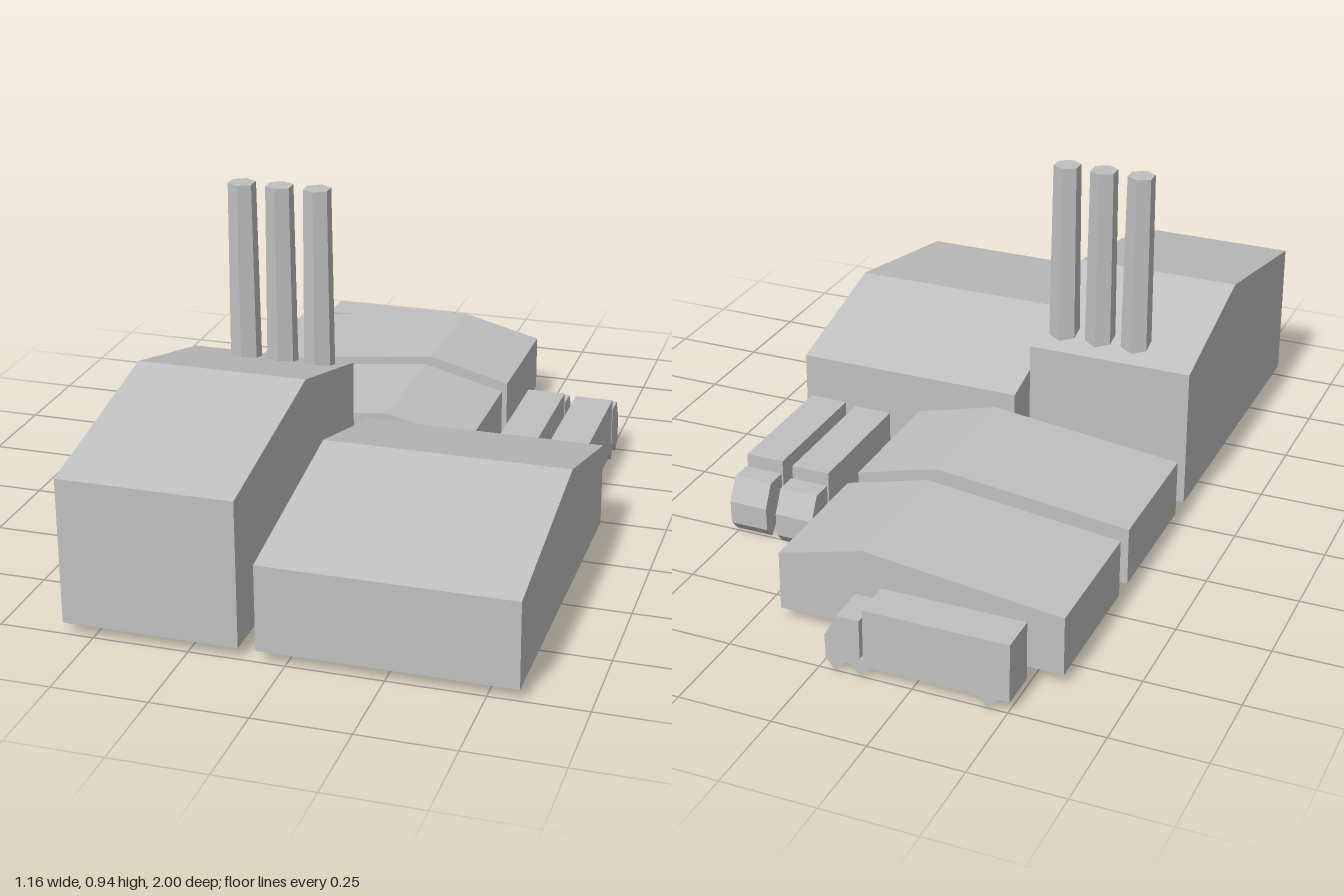
import * as THREE from 'three';

const BASE = 0.03; // walls and truck beds hang just above the wheel tips

function extrude(points, depth) {
  const shape = new THREE.Shape(points.map(([x, y]) => new THREE.Vector2(x, y)));
  return new THREE.ExtrudeGeometry(shape, { depth, bevelEnabled: false });
}

// Drops the floor triangles so that a building is an open shell
function removeFloor(geometry) {
  const source = geometry.index ? geometry.toNonIndexed() : geometry;
  const p = source.attributes.position;
  const kept = [];
  for (let i = 0; i < p.count; i += 3) {
    const onFloor = [0, 1, 2].every((k) => p.getY(i + k) < BASE + 1e-4);
    if (onFloor) continue;
    for (let k = 0; k < 3; k++) kept.push(p.getX(i + k), p.getY(i + k), p.getZ(i + k));
  }
  const shell = new THREE.BufferGeometry();
  shell.setAttribute('position', new THREE.Float32BufferAttribute(kept, 3));
  shell.computeVertexNormals();
  return shell;
}

// Gabled outline from a to b with an off-centre ridge
function gable(a, b, eave, ridgeAt, ridge) {
  return [[a, BASE], [b, BASE], [b, eave], [ridgeAt, ridge], [a, eave]];
}

export function createModel() {
  const model = new THREE.Group();
  model.name = 'factory';
  const grey = new THREE.MeshStandardMaterial({ color: 0xc0c0c0, side: THREE.DoubleSide, flatShading: true });
  grey.name = 'concreteGrey';

  function add(parent, name, geometry) {
    const mesh = new THREE.Mesh(geometry, grey);
    mesh.name = name;
    parent.add(mesh);
    return mesh;
  }

  // Front buildings, ridge running along x
  const mainBuildings = [
    ['tallBuilding', -0.58, -0.12, 0.42, 0.524],
    ['lowBuilding', -0.075, 0.58, 0.26, 0.362],
  ];
  for (const [name, x0, x1, eave, ridge] of mainBuildings) {
    const g = extrude(gable(-1, -0.07, eave, -0.468, ridge), x1 - x0);
    g.rotateY(Math.PI / 2).translate(x0, 0, 0);
    add(model, name, removeFloor(g));
  }

  // Rear halls, ridge running along z
  for (const [name, z0] of [['nearHall', -0.39], ['farHall', -0.842]]) {
    const g = extrude(gable(-0.58, 0.188, 0.19, -0.045, 0.25), 0.39);
    g.translate(0, 0, z0);
    add(model, name, removeFloor(g));
  }

  // Six-sided tapering chimneys
  for (const x of [-0.398, -0.293, -0.188]) {
    const g = new THREE.CylinderGeometry(0.038, 0.043, 0.525, 6);
    add(model, 'chimney', g).position.set(x, 0.6725, 0.155);
  }

  // Trucks, built with the rear at x = 0 and the cab toward +x
  const truckWidth = 0.108;
  const truckProfile = [
    [0, BASE], [0.485, BASE], [0.487, 0.095], [0.454, 0.157], [0.393, 0.157],
    [0.393, 0.05], [0.384, 0.05], [0.384, 0.19], [0, 0.19],
  ];
  function truck(name) {
    const group = new THREE.Group();
    group.name = name;
    add(group, 'truckBody', extrude(truckProfile, truckWidth));
    for (const x of [0.055, 0.39, 0.458]) {
      const wheel = extrude([[x - 0.026, BASE], [x, 0], [x + 0.026, BASE]], truckWidth);
      add(group, 'wheels', wheel);
    }
    model.add(group);
    return group;
  }
  truck('rearTruck').position.set(-0.504, 0, -1);
  for (const [name, x, z] of [['innerTruck', 0.259, -0.043], ['outerTruck', 0.403, -0.031]]) {
    const t = truck(name);
    t.rotation.y = Math.PI / 2;
    t.position.set(x, 0, z);
  }

  return model;
}
